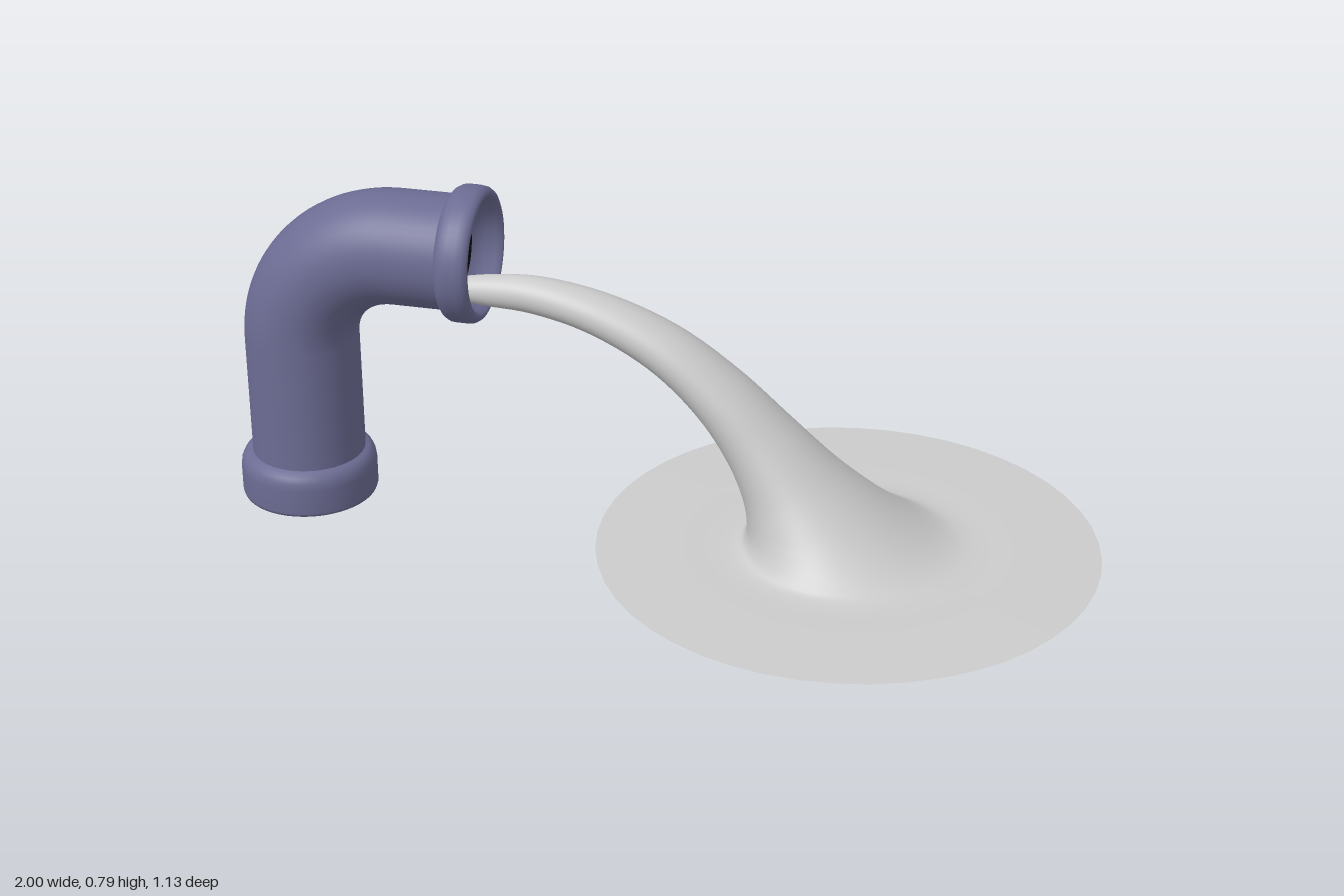
import * as THREE from 'three';

const pipeMat = new THREE.MeshStandardMaterial({ color: 0x6c6c94, side: THREE.DoubleSide });
const darkMat = new THREE.MeshStandardMaterial({ color: 0x0c0c0c });
const liquidMat = new THREE.MeshStandardMaterial({ color: 0xcccccc, side: THREE.DoubleSide });
const v3 = (x, y, z = 0) => new THREE.Vector3(x, y, z);

function add(parent, name, geometry, material) {
  const mesh = new THREE.Mesh(geometry, material);
  mesh.name = name;
  parent.add(mesh);
  return mesh;
}

function lathe(points) {
  return new THREE.LatheGeometry(points.map(([r, y]) => new THREE.Vector2(r, y)), 48);
}

// Straight, quarter bend, straight
function pipeGeometry() {
  const path = new THREE.CurvePath();
  const k = 0.24 * 0.5523;
  path.add(new THREE.LineCurve3(v3(-0.84, 0.05), v3(-0.84, 0.4)));
  path.add(new THREE.CubicBezierCurve3(
    v3(-0.84, 0.4), v3(-0.84, 0.4 + k), v3(-0.6 - k, 0.64), v3(-0.6, 0.64)));
  path.add(new THREE.LineCurve3(v3(-0.6, 0.64), v3(-0.46, 0.64)));
  return new THREE.TubeGeometry(path, 64, 0.13, 48, false);
}

// Each section: top x, top y, bottom x, bottom y, half width
const SECTIONS = [
  [-0.45, 0.582, -0.45, 0.525, 0.03],
  [-0.39, 0.592, -0.39, 0.52, 0.035],
  [-0.28, 0.598, -0.29, 0.515, 0.045],
  [-0.12, 0.57, -0.16, 0.485, 0.058],
  [0.04, 0.505, -0.02, 0.415, 0.073],
  [0.18, 0.408, 0.085, 0.32, 0.088],
  [0.30, 0.30, 0.155, 0.22, 0.108],
  [0.40, 0.207, 0.193, 0.135, 0.138],
  [0.49, 0.133, 0.205, 0.08, 0.175],
  [0.56, 0.082, 0.205, 0.05, 0.207],
  [0.63, 0.042, 0.195, 0.03, 0.238],
  [0.69, 0.023, 0.168, 0.022, 0.263],
  [0.82, 0.02, 0.04, 0.02, 0.39],
  [0.998, 0.017, -0.133, 0.017, 0.565],
];

// Elliptical sections lofted along smooth top and bottom lines
function streamGeometry(rows = 72, sides = 48) {
  const top = new THREE.CatmullRomCurve3(SECTIONS.map((s) => v3(s[0], s[1], s[4])));
  const bottom = new THREE.CatmullRomCurve3(SECTIONS.map((s) => v3(s[2], s[3])));
  const positions = [], index = [];
  for (let i = 0; i <= rows; i++) {
    const t = top.getPoint(i / rows), b = bottom.getPoint(i / rows);
    for (let j = 0; j < sides; j++) {
      const a = (j / sides) * Math.PI * 2;
      const f = (1 + Math.cos(a)) / 2;
      positions.push(b.x + (t.x - b.x) * f, b.y + (t.y - b.y) * f, t.z * Math.sin(a));
      if (i < rows) {
        const p = i * sides + j, q = i * sides + (j + 1) % sides;
        index.push(p, p + sides, q, q, p + sides, q + sides);
      }
    }
  }
  const g = new THREE.BufferGeometry();
  g.setAttribute('position', new THREE.Float32BufferAttribute(positions, 3));
  // Face outward: +z side points must have normals with +z
  g.setIndex(index);
  g.computeVertexNormals();
  const n = g.attributes.normal;
  if (n.getZ(Math.floor(rows / 4) * sides + sides / 4) < 0) {
    g.setIndex(index.reverse());
    g.computeVertexNormals();
  }
  return g;
}

export function createModel() {
  const group = new THREE.Group();

  // Pipe elbow
  add(group, 'pipe', pipeGeometry(), pipeMat);

  // Base collar with rounded shoulder
  const base = add(group, 'baseCollar', lathe([
    [0, 0], [0.146, 0], [0.146, 0], [0.154, 0.004], [0.157, 0.012], [0.157, 0.07],
    [0.155, 0.086], [0.149, 0.099], [0.14, 0.107], [0.128, 0.111],
  ]), pipeMat);
  base.position.x = -0.842;

  // Mouth collar with tapering inner lip
  const mouth = new THREE.Group();
  mouth.name = 'mouth';
  mouth.position.set(-0.47, 0.64, 0);
  mouth.rotation.z = -Math.PI / 2;
  group.add(mouth);
  add(mouth, 'mouthCollar', lathe([
    [0.128, -0.005], [0.138, -0.003], [0.147, 0.004], [0.153, 0.015], [0.154, 0.028],
    [0.154, 0.048], [0.152, 0.062], [0.146, 0.071], [0.138, 0.075], [0.131, 0.073],
    [0.125, 0.06], [0.115, 0.038], [0.104, 0.022], [0.091, 0.012],
  ]), pipeMat);
  const hole = add(mouth, 'darkOpening', new THREE.CircleGeometry(0.093, 48), darkMat);
  hole.rotation.x = -Math.PI / 2;
  hole.position.y = 0.013;

  // Pouring liquid flaring into its puddle
  add(group, 'liquidStream', streamGeometry(), liquidMat);
  const under = add(group, 'puddleUnderside', new THREE.CircleGeometry(0.565, 48), liquidMat);
  under.rotation.x = Math.PI / 2;
  under.position.set(0.4325, 0.016, 0);

  return group;
}
